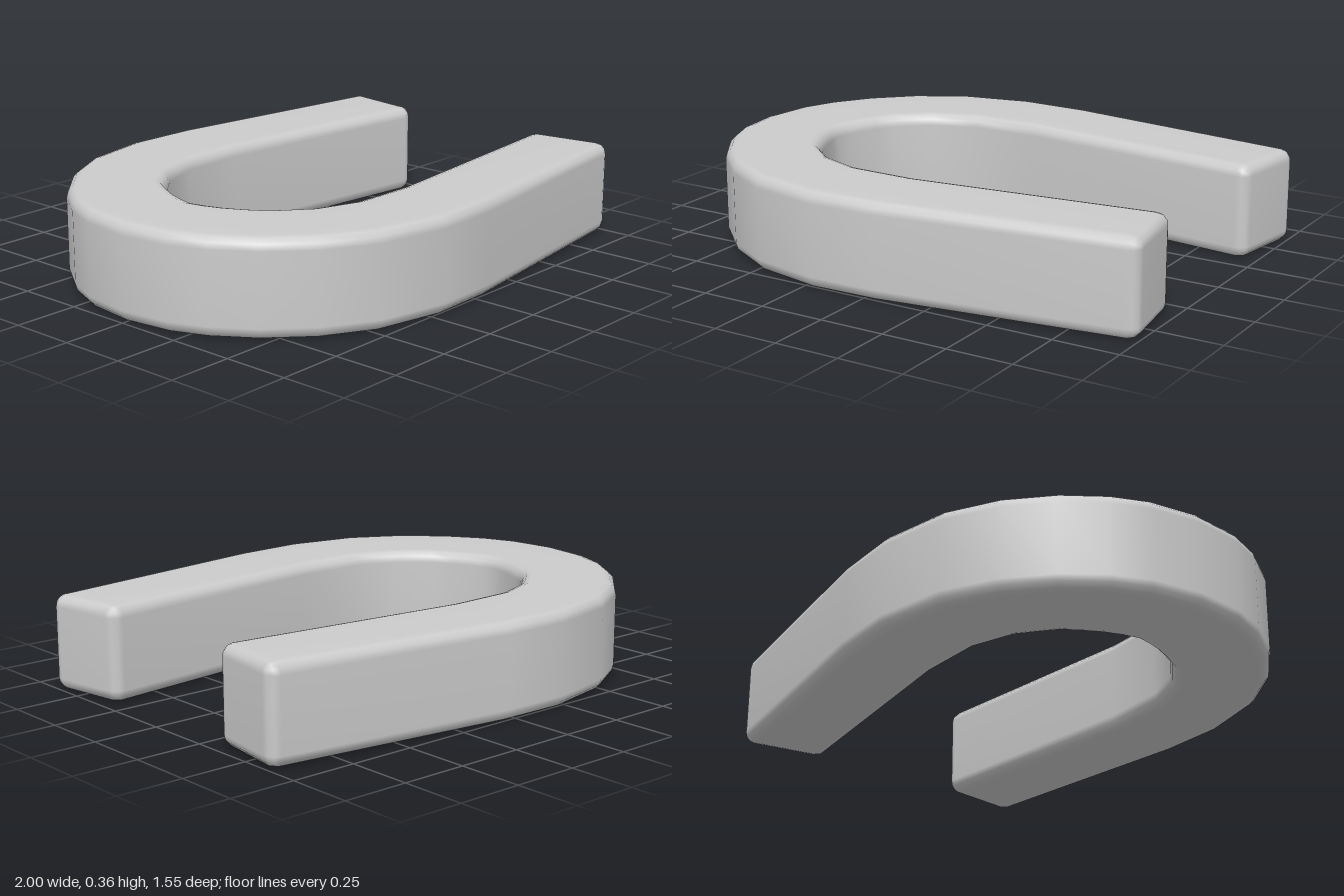
import * as THREE from 'three';
import { mergeVertices } from 'three/addons/utils/BufferGeometryUtils.js';

const HEIGHT = 0.36;
const RADIUS = 0.045; // edge rounding
const STEPS = 3;      // segments per rounded corner

// Half of the bend, from leg to middle: outer x, outer z, inner x, inner z
const HALF = [
  [0.05, -0.77, -0.01, -0.415],
  [-0.21, -0.777, -0.27, -0.408],
  [-0.48, -0.722, -0.43, -0.347],
  [-0.67, -0.617, -0.55, -0.243],
  [-0.82, -0.477, -0.585, -0.175],
  [-0.92, -0.33, -0.615, -0.11],
  [-0.975, -0.193, -0.632, -0.055],
];
const MIDDLE = [-1, 0, -0.645, 0];
const TIP = [1.007, -0.64, 0.957, -0.305];

// Rounded rectangle standing across the bar, shrunk by inset and slid back from the tip
function section([ox, oz, ix, iz], inset = 0, back = 0) {
  const width = Math.hypot(ox - ix, oz - iz);
  const nx = (ox - ix) / width, nz = (oz - iz) / width;
  const side = Math.sign(oz) || 1; // which leg the slide belongs to
  const cx = (ox + ix) / 2 - back * Math.abs(nz);
  const cz = (oz + iz) / 2 + back * side * nx;
  const r = RADIUS - inset;
  const points = [];
  for (let c = 0; c < 4; c++) {
    const su = c === 0 || c === 3 ? 1 : -1;
    const sv = c < 2 ? 1 : -1;
    for (let k = 0; k <= STEPS; k++) {
      const a = (c + k / STEPS) * Math.PI / 2;
      const u = su * (width / 2 - RADIUS) + r * Math.cos(a);
      const v = sv * (HEIGHT / 2 - RADIUS) + r * Math.sin(a);
      points.push(cx + nx * u, HEIGHT / 2 + v, cz + nz * u);
    }
  }
  return points;
}

function barGeometry() {
  const mirror = ([ox, oz, ix, iz]) => [ox, -oz, ix, -iz];
  // Sections that round off the end of a leg
  const tipRings = (tip) => Array.from({ length: STEPS + 1 }, (_, k) => {
    const a = (1 - k / STEPS) * Math.PI / 2;
    return section(tip, RADIUS * (1 - Math.cos(a)), RADIUS * (1 - Math.sin(a)));
  });
  const rings = [
    ...tipRings(TIP),
    ...HALF.map((s) => section(s)),
    section(MIDDLE),
    ...HALF.map((s) => section(mirror(s))).reverse(),
    ...tipRings(mirror(TIP)).reverse(),
  ];

  const n = 4 * (STEPS + 1);
  const last = (rings.length - 1) * n;
  const index = [];
  for (let s = 0; s < rings.length - 1; s++) {
    for (let k = 0; k < n; k++) {
      const a = s * n + k, b = s * n + (k + 1) % n;
      index.push(a, a + n, b, b, a + n, b + n);
    }
  }
  // Flat end caps
  for (let k = 1; k < n - 1; k++) {
    index.push(0, k, k + 1, last, last + k + 1, last + k);
  }

  const geometry = new THREE.BufferGeometry();
  geometry.setAttribute('position', new THREE.Float32BufferAttribute(rings.flat(), 3));
  geometry.setIndex(index);
  const welded = mergeVertices(geometry, 1e-4);
  welded.computeVertexNormals();
  return welded;
}

export function createModel() {
  const group = new THREE.Group();
  group.name = 'horseshoeMagnet';
  const material = new THREE.MeshStandardMaterial({ color: 0xcccccc });
  const bar = new THREE.Mesh(barGeometry(), material);
  bar.name = 'curvedBar';
  group.add(bar);
  return group;
}
